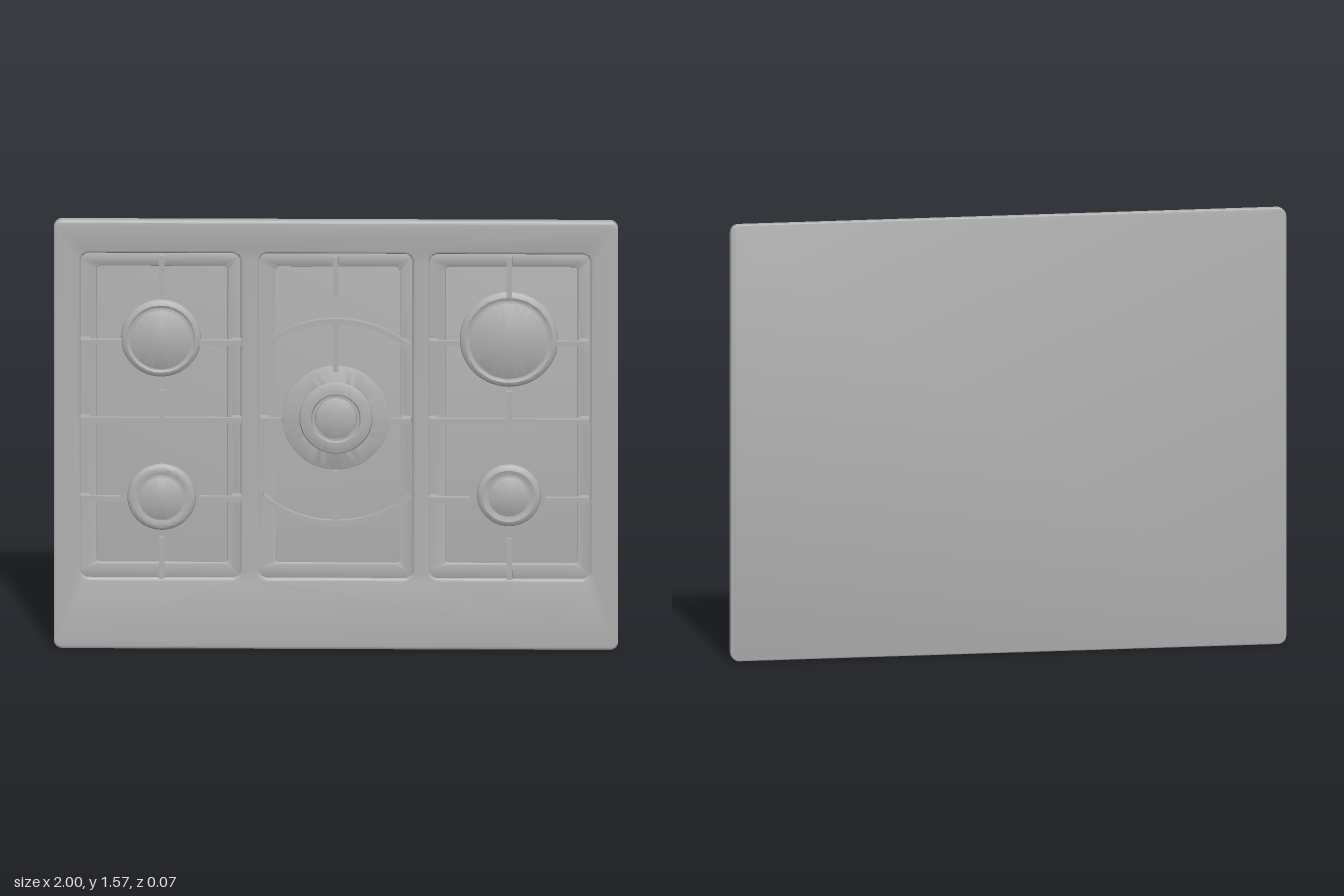
import * as THREE from 'three';
import { toCreasedNormals } from 'three/addons/utils/BufferGeometryUtils.js';

const FLOOR = -0.016, FACE = 0.003, BAR_LOW = 0.014, BAR_TOP = 0.033;

// Rounded rectangle outline; works for shapes and holes
function roundRect(x0, y0, x1, y1, r, Type = THREE.Shape) {
  const s = new Type();
  s.absarc(x1 - r, y0 + r, r, -Math.PI / 2, 0);
  s.absarc(x1 - r, y1 - r, r, 0, Math.PI / 2);
  s.absarc(x0 + r, y1 - r, r, Math.PI / 2, Math.PI);
  s.absarc(x0 + r, y0 + r, r, Math.PI, Math.PI * 1.5);
  s.closePath();
  return s;
}

// Extrusion between two z levels with an inward bevel
function slab(shape, z0, z1, bevel = 0, thick = bevel) {
  const geo = new THREE.ExtrudeGeometry(shape, {
    depth: z1 - z0 - 2 * thick, curveSegments: 10, bevelEnabled: bevel > 0,
    bevelSize: bevel, bevelThickness: thick, bevelOffset: -bevel, bevelSegments: 3,
  });
  geo.translate(0, 0, z0 + thick);
  return toCreasedNormals(geo, 0.6);
}

export function createModel() {
  const model = new THREE.Group();
  model.name = 'gasHob';
  const steel = new THREE.MeshStandardMaterial({ color: 0xb0b0b0 });
  steel.name = 'grey steel';

  function add(geo, name, parent = model) {
    const mesh = new THREE.Mesh(geo, steel);
    mesh.name = name;
    parent.add(mesh);
    return mesh;
  }

  // Base plate and the top sheet with three tray openings
  const trays = [[-0.915, -0.328], [-0.282, 0.282], [0.322, 0.912]];
  const outline = () => roundRect(-1, 0, 1, 1.57, 0.03);
  add(slab(outline(), -0.033, FLOOR, 0.003), 'basePlate');
  const sheet = outline();
  for (const [a, b] of trays) sheet.holes.push(roundRect(a + 0.01, 0.26, b - 0.01, 1.45, 0.03, THREE.Path));
  add(slab(sheet, -0.026, FACE, 0.009, 0.007), 'topSheet');

  // Raised border inside each tray
  for (const [a, b] of trays) {
    const border = roundRect(a, 0.25, b, 1.46, 0.04);
    border.holes.push(roundRect(a + 0.066, 0.315, b - 0.056, 1.4, 0.015, THREE.Path));
    add(slab(border, -0.022, -0.011, 0.006, 0.004), 'trayBorder');
  }

  // Burners turned around the z axis
  function burner(name, x, y, profile) {
    const pts = profile.map(([r, z]) => new THREE.Vector2(r, z));
    const geo = new THREE.LatheGeometry(pts, 56);
    geo.rotateX(Math.PI / 2);
    add(toCreasedNormals(geo, 0.5), name).position.set(x, y, 0);
  }
  const simple = (R, cap) => [
    [R, FLOOR - 0.002], [R - 0.003, -0.008], [R - 0.012, -0.001], [R - 0.02, 0.001],
    [cap + 0.009, -0.003], [cap + 0.003, -0.004], [cap + 0.003, 0.004],
    [cap, 0.005], [cap, 0.011], [cap - 0.004, 0.013], [0, 0.013],
  ];
  burner('upperRightBurner', -0.62, 1.135, simple(0.142, 0.107));
  burner('lowerRightBurner', -0.618, 0.553, simple(0.122, 0.077));
  burner('upperLeftBurner', 0.613, 1.135, simple(0.175, 0.137));
  burner('lowerLeftBurner', 0.613, 0.563, simple(0.114, 0.07));
  burner('centreBurner', 0, 0.847, [
    [0.19, FLOOR - 0.002], [0.19, -0.006], [0.184, -0.003], [0.13, -0.003],
    [0.126, 0.005], [0.122, 0.007], [0.088, 0.007], [0.084, -0.001], [0.074, -0.001],
    [0.072, 0.011], [0.068, 0.013], [0, 0.013],
  ]);

  // Grate bar between two points; feet: 1 = start, 2 = end, 3 = both
  const W = 0.02, FOOT = 0.034;
  function block(parent, name, x0, y0, x1, y1, z0) {
    const horizontal = y0 === y1;
    const len = Math.abs(horizontal ? x1 - x0 : y1 - y0);
    const geo = new THREE.BoxGeometry(horizontal ? len : W, horizontal ? W : len, BAR_TOP - z0);
    add(geo, name, parent).position.set((x0 + x1) / 2, (y0 + y1) / 2, (BAR_TOP + z0) / 2);
  }
  function bar(parent, x0, y0, x1, y1, feet = 0) {
    block(parent, 'grateBar', x0, y0, x1, y1, BAR_LOW);
    const dx = Math.sign(x1 - x0) * FOOT, dy = Math.sign(y1 - y0) * FOOT;
    if (feet & 1) block(parent, 'grateFoot', x0, y0, x0 + dx, y0 + dy, FLOOR);
    if (feet & 2) block(parent, 'grateFoot', x1 - dx, y1 - dy, x1, y1, FLOOR);
  }

  // Side grates: prong ends differ with the burner sizes
  function sideGrate(name, cx, xa, xb, upper, lower) {
    const g = new THREE.Group();
    g.name = name;
    bar(g, cx, 1.447, cx, 1.3, 1);
    bar(g, cx, 0.265, cx, 0.415, 1);
    bar(g, cx, 0.69, cx, 0.955);
    bar(g, xa, 0.845, xb, 0.845, 3);
    for (const [y, [p, q]] of [[1.13, upper], [0.557, lower]]) {
      bar(g, xa, y, p, y, 1);
      bar(g, xb, y, q, y, 1);
    }
    model.add(g);
  }
  sideGrate('rightGrate', -0.617, -0.905, -0.334, [-0.757, -0.484], [-0.762, -0.484]);
  sideGrate('leftGrate', 0.615, 0.33, 0.897, [0.44, 0.78], [0.475, 0.745]);

  // Centre grate with two curved bars
  const centre = new THREE.Group();
  centre.name = 'centreGrate';
  bar(centre, 0, 1.447, 0, 1.3, 1);
  bar(centre, 0, 1.205, 0, 1.025);
  bar(centre, 0, 0.475, 0, 0.66);
  for (const s of [-1, 1]) bar(centre, s * 0.267, 0.845, s * 0.19, 0.845, 1);
  function arc(cy, mid, from, to, z0, name) {
    const R = 0.405, shape = new THREE.Shape();
    shape.absarc(0, cy, R + W / 2, mid + from, mid + to, false);
    shape.absarc(0, cy, R - W / 2, mid + to, mid + from, true);
    add(slab(shape, z0, BAR_TOP), name, centre);
  }
  for (const [cy, mid] of [[0.805, Math.PI / 2], [0.875, -Math.PI / 2]]) {
    arc(cy, mid, -0.7, 0.7, BAR_LOW, 'curvedBar');
    arc(cy, mid, -0.7, -0.615, FLOOR, 'curvedBarFoot');
    arc(cy, mid, 0.615, 0.7, FLOOR, 'curvedBarFoot');
  }
  model.add(centre);

  return model;
}
